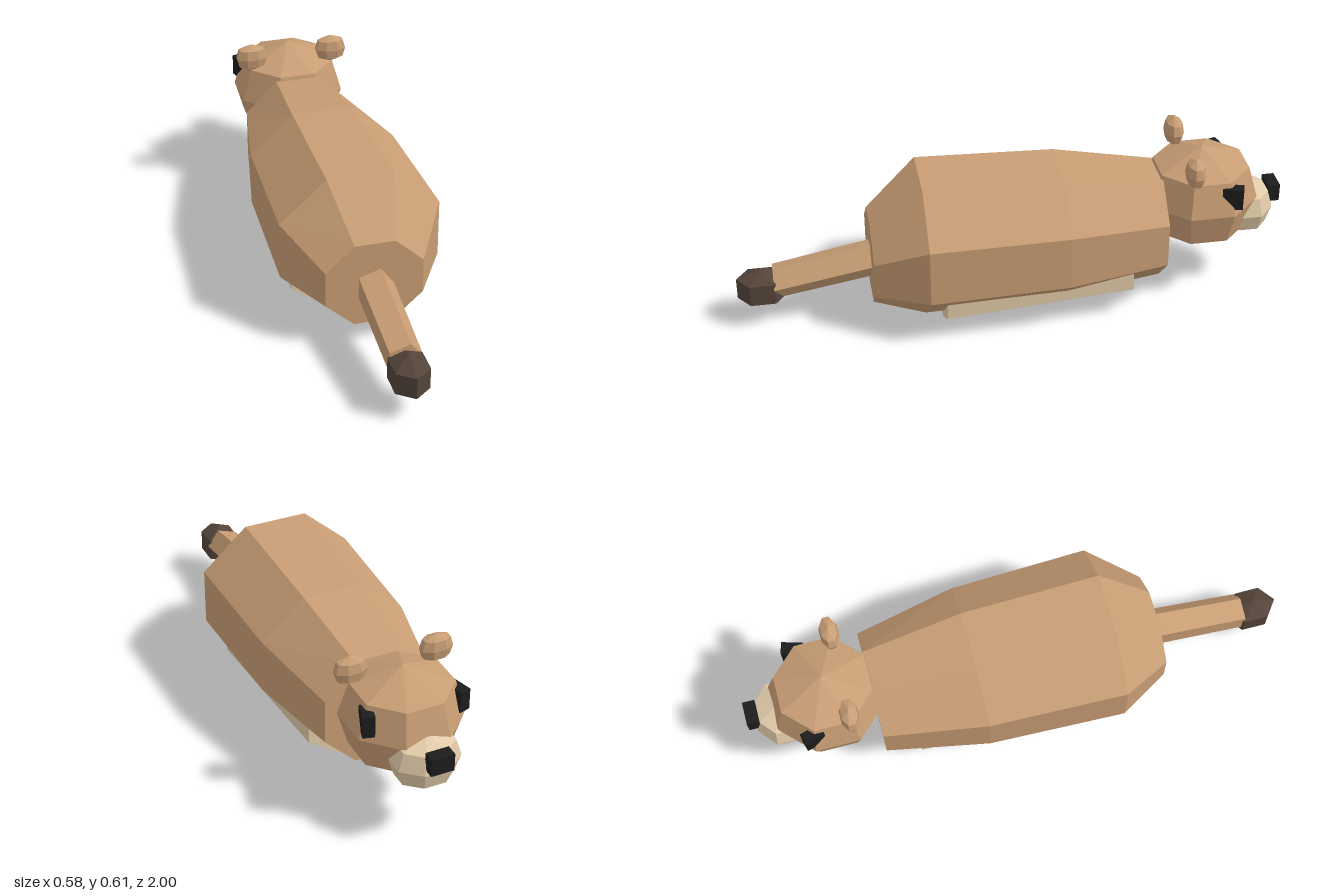
import * as THREE from 'three';

const paint = (color) => new THREE.MeshStandardMaterial({ color, flatShading: true });

// Closed loft through regular-polygon sections [z, centreY, halfWidth, halfHeight], from high z to low z
function loft(sections, sides, turn) {
  const k = sides % 2 ? 1 : 1 / Math.cos(Math.PI / sides);
  const rings = sections.map(([z, cy, w, h]) =>
    Array.from({ length: sides }, (_, i) => {
      const a = turn + (i / sides) * Math.PI * 2;
      return [Math.cos(a) * w * k, cy + Math.sin(a) * h * k, z];
    }));
  const pos = [];
  const tri = (...corners) => corners.forEach((c) => pos.push(...c));
  const last = rings.length - 1;
  for (let j = 0; j < sides; j++) {
    const n = (j + 1) % sides;
    for (let i = 0; i < last; i++) {
      tri(rings[i][j], rings[i + 1][j], rings[i + 1][n]);
      tri(rings[i][j], rings[i + 1][n], rings[i][n]);
    }
    tri([0, sections[0][1], sections[0][0]], rings[0][j], rings[0][n]);
    tri([0, sections[last][1], sections[last][0]], rings[last][n], rings[last][j]);
  }
  const g = new THREE.BufferGeometry();
  g.setAttribute('position', new THREE.Float32BufferAttribute(pos, 3));
  g.computeVertexNormals();
  return g;
}

// Eight-sided faceted ball given by its half extents
function ball(rx, ry, rz) {
  const profile = [[0, -1], [0.83, -0.636], [1, 0], [0.83, 0.636], [0, 1]]
    .map(([r, y]) => new THREE.Vector2(r / Math.cos(Math.PI / 8), y));
  return new THREE.LatheGeometry(profile, 8, Math.PI / 8).scale(rx, ry, rz);
}

export function createModel() {
  const model = new THREE.Group();
  model.name = 'animal';
  const fur = paint(0xc89d74);
  const cream = paint(0xe0caa8);
  const dark = paint(0x54443a);
  const black = paint(0x1c1c1c);

  const add = (name, geometry, material, x = 0, y = 0, z = 0) => {
    const mesh = new THREE.Mesh(geometry, material);
    mesh.name = name;
    mesh.position.set(x, y, z);
    model.add(mesh);
    return mesh;
  };

  // Torso and belly patch
  add('body', loft([
    [0.515, 0.239, 0.174, 0.159],
    [0.33, 0.301, 0.288, 0.259],
    [-0.175, 0.299, 0.272, 0.247],
    [-0.545, 0.287, 0.202, 0.201],
  ], 8, Math.PI / 8), fur);
  add('belly', loft([
    [0.265, 0.144, 0.232, 0.143],
    [-0.42, 0.172, 0.205, 0.139],
  ], 8, Math.PI / 8), cream);

  // Tail with dark tip
  add('tail', loft([
    [0.868, 0.165, 0.066, 0.066],
    [0.5, 0.23, 0.07, 0.07],
  ], 5, 0), fur);
  add('tailTip', new THREE.SphereGeometry(0.08, 6, 3).rotateY(Math.PI / 2).scale(1, 1, 1.3),
    dark, 0, 0.146, 0.91);

  // Head, muzzle and nose
  add('head', ball(0.196, 0.192, 0.196), fur, 0, 0.381, -0.705);
  add('muzzle', ball(0.115, 0.1, 0.096), cream, 0, 0.316, -0.876);
  add('nose', new THREE.BoxGeometry(0.084, 0.066, 0.044), black, 0, 0.367, -0.978);

  // Ears and eyes, mirrored
  for (const [side, s] of [['left', 1], ['right', -1]]) {
    add(side + 'Ear', ball(0.057, 0.055, 0.033), fur, s * 0.157, 0.557, -0.64);
    const eye = add(side + 'Eye', new THREE.BoxGeometry(0.042, 0.08, 0.075), black,
      s * 0.165, 0.446, -0.782);
    eye.rotation.y = -s * 0.28;
  }
  return model;
}
